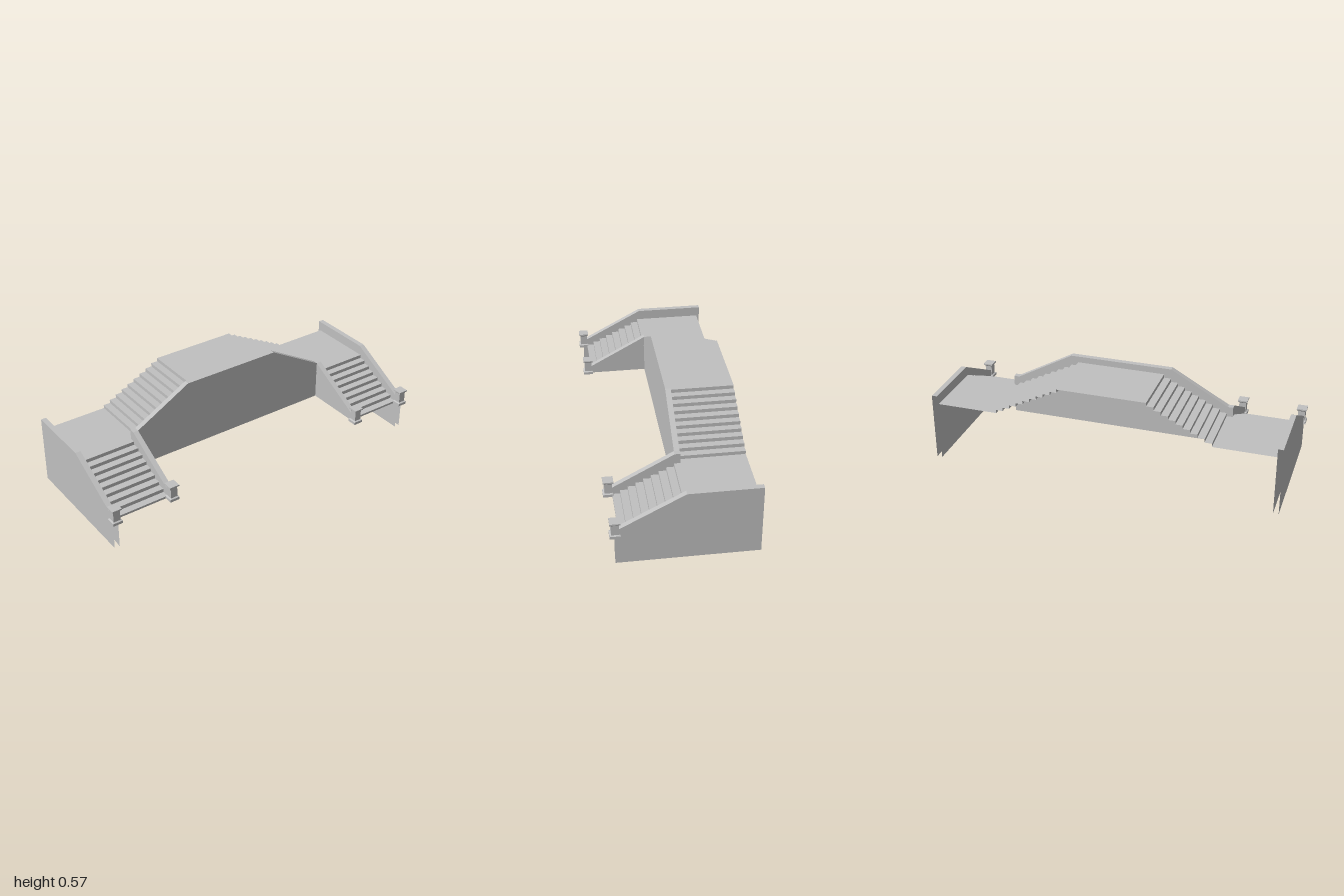
import * as THREE from 'three';

const stone = new THREE.MeshStandardMaterial({ color: 0xc0c0c0, side: THREE.DoubleSide });
stone.name = 'pale grey stone';

const STEP = 0.0203, LANDING = 0.335, DECK = 0.537, WALL_TOP = 0.392;

function add(parent, name, geometry) {
  const mesh = new THREE.Mesh(geometry, stone);
  mesh.name = name;
  parent.add(mesh);
  return mesh;
}

// Open folded sheet: a [u, y] profile swept from w0 to w1 (u runs along x, or along z)
function sheet(profile, w0, w1, alongZ = false) {
  const p = [];
  const put = ([u, y], w) => (alongZ ? p.push(w, y, u) : p.push(u, y, w));
  if (alongZ) [w0, w1] = [w1, w0];
  for (let i = 0; i + 1 < profile.length; i++) {
    const a = profile[i], b = profile[i + 1];
    put(a, w0); put(a, w1); put(b, w1);
    put(a, w0); put(b, w1); put(b, w0);
  }
  const g = new THREE.BufferGeometry();
  g.setAttribute('position', new THREE.Float32BufferAttribute(p, 3));
  g.computeVertexNormals();
  return g;
}

const shapeOf = (pts) => new THREE.Shape(pts.map(([x, y]) => new THREE.Vector2(x, y)));

// Upright slab centred on z = 0
function slab(pts, depth) {
  return new THREE.ExtrudeGeometry(shapeOf(pts), { depth, bevelEnabled: false }).translate(0, 0, -depth / 2);
}

// Square post with a plinth and a flared cap, as [half width, y]
function postGeometry() {
  const profile = [[0, 0.163], [0.028, 0.163], [0.028, 0.178], [0.02, 0.182], [0.02, 0.239],
    [0.022, 0.242], [0.028, 0.247], [0.028, 0.255], [0, 0.255]];
  const pts = profile.map(([h, y]) => new THREE.Vector2(h * Math.SQRT2, y));
  const g = new THREE.LatheGeometry(pts, 4, Math.PI / 4).toNonIndexed();
  g.computeVertexNormals();
  return g;
}

export function createModel() {
  const model = new THREE.Group();
  model.name = 'footbridge';

  // Central deck with a flight down towards each end
  const half = [[0.25, DECK]];
  for (let i = 0; i < 10; i++) {
    const z = 0.25 + i * 0.04, y = DECK - (i + 1) * STEP;
    half.push([z, y]);
    if (i < 9) half.push([z + 0.04, y]);
  }
  const whole = [...half.map(([z, y]) => [-z, y]).reverse(), ...half];
  add(model, 'deckAndMainStairs', sheet(whole, -0.37, -0.02, true));

  // Tall parapet along the deck
  const parapet = add(model, 'parapet', slab([[-0.644, 0.167], [0.644, 0.167], [0.644, WALL_TOP],
    [0.614, WALL_TOP], [0.29, 0.572], [-0.29, 0.572], [-0.614, WALL_TOP], [-0.644, WALL_TOP]], 0.03));
  parapet.rotation.y = Math.PI / 2;
  parapet.position.x = -0.005;

  // Side flight profile, descending towards +x
  const flight = [[0.013, LANDING]];
  for (let i = 0; i < 8; i++) {
    const x = 0.013 + i * 0.0404, y = LANDING - (i + 1) * STEP;
    flight.push([x, y], [x + 0.0404, y]);
  }
  flight.push([0.336, 0.16]);

  const wallTop = [[-0.387, WALL_TOP], [0, WALL_TOP], [0.358, 0.201]];
  const post = postGeometry();

  for (const s of [1, -1]) {
    const end = new THREE.Group();
    end.name = s > 0 ? 'frontEnd' : 'backEnd';
    model.add(end);
    const span = (a, b) => (s > 0 ? [a, b] : [-b, -a]);

    add(end, 'landing', sheet([[-0.37, LANDING], [0.013, LANDING]], ...span(0.61, 0.957)));
    add(end, 'sideStairs', sheet(flight, ...span(0.644, 0.957)));

    // Outer wall: two faces and a coping, open at the ends and bottom
    const face = new THREE.ShapeGeometry(shapeOf([[-0.387, 0], [0.358, 0], ...[...wallTop].reverse()]));
    const [z0, z1] = span(0.957, 0.987);
    add(end, 'outerWallFrontFace', face).position.z = z1;
    add(end, 'outerWallBackFace', face).position.z = z0;
    add(end, 'outerWallTop', sheet(wallTop, z0, z1));

    // Inner balustrade
    add(end, 'innerWall', slab([[0.01, 0.167], [0.358, 0.167], [0.358, 0.201], [0.01, WALL_TOP]], 0.03))
      .position.z = s * 0.629;

    // Posts at the foot of the stairs
    for (const z of [0.629, 0.972]) add(end, 'post', post).position.set(0.357, 0, s * z);
  }
  return model;
}
